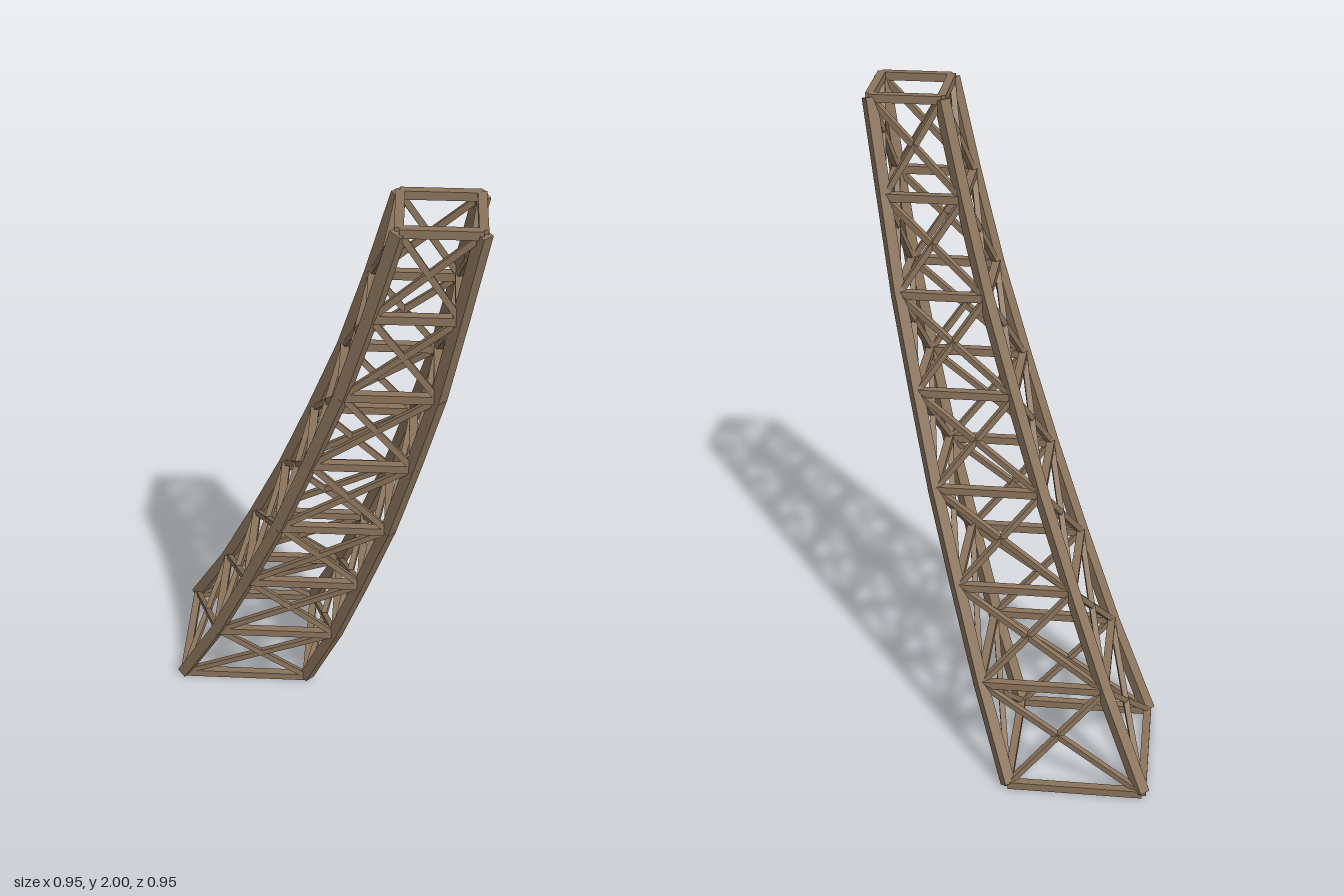
import * as THREE from 'three';

// Leaning, tapering square lattice leg
export function createModel() {
  const model = new THREE.Group();
  model.name = 'latticeLeg';
  const iron = new THREE.MeshStandardMaterial({ color: 0x8b745c });
  iron.name = 'brown iron';

  // Inner and outer edge of the square section at each evenly spaced level
  const inner = [-0.45, -0.318, -0.205, -0.097, 0.0, 0.092, 0.168, 0.237];
  const outer = [-0.032, 0.068, 0.152, 0.232, 0.298, 0.36, 0.407, 0.452];
  const bottom = 0.0135, top = 1.9875;
  const levels = inner.map((a, i) => {
    const b = outer[i];
    const y = bottom + (top - bottom) * i / (inner.length - 1);
    return [[a, a], [b, a], [b, b], [a, b]].map(([x, z]) => new THREE.Vector3(x, y, z));
  });

  // Square bar between two points
  function bar(parent, name, from, to, size) {
    const mesh = new THREE.Mesh(new THREE.BoxGeometry(size, size, from.distanceTo(to)), iron);
    mesh.name = name;
    mesh.position.copy(from).lerp(to, 0.5);
    mesh.lookAt(to);
    parent.add(mesh);
  }

  levels.forEach((ring, i) => {
    const bay = new THREE.Group();
    bay.name = 'bay' + (i + 1);
    model.add(bay);
    const above = levels[i + 1];
    for (let k = 0; k < 4; k++) {
      const n = (k + 1) % 4;
      bar(bay, 'horizontalBeam', ring[k], ring[n], 0.025);
      if (!above) continue;
      bar(bay, 'cornerPost', ring[k], above[k], 0.035);
      // Crossed braces on each face
      bar(bay, 'crossBrace', ring[k], above[n], 0.018);
      bar(bay, 'crossBrace', ring[n], above[k], 0.018);
    }
  });
  return model;
}
